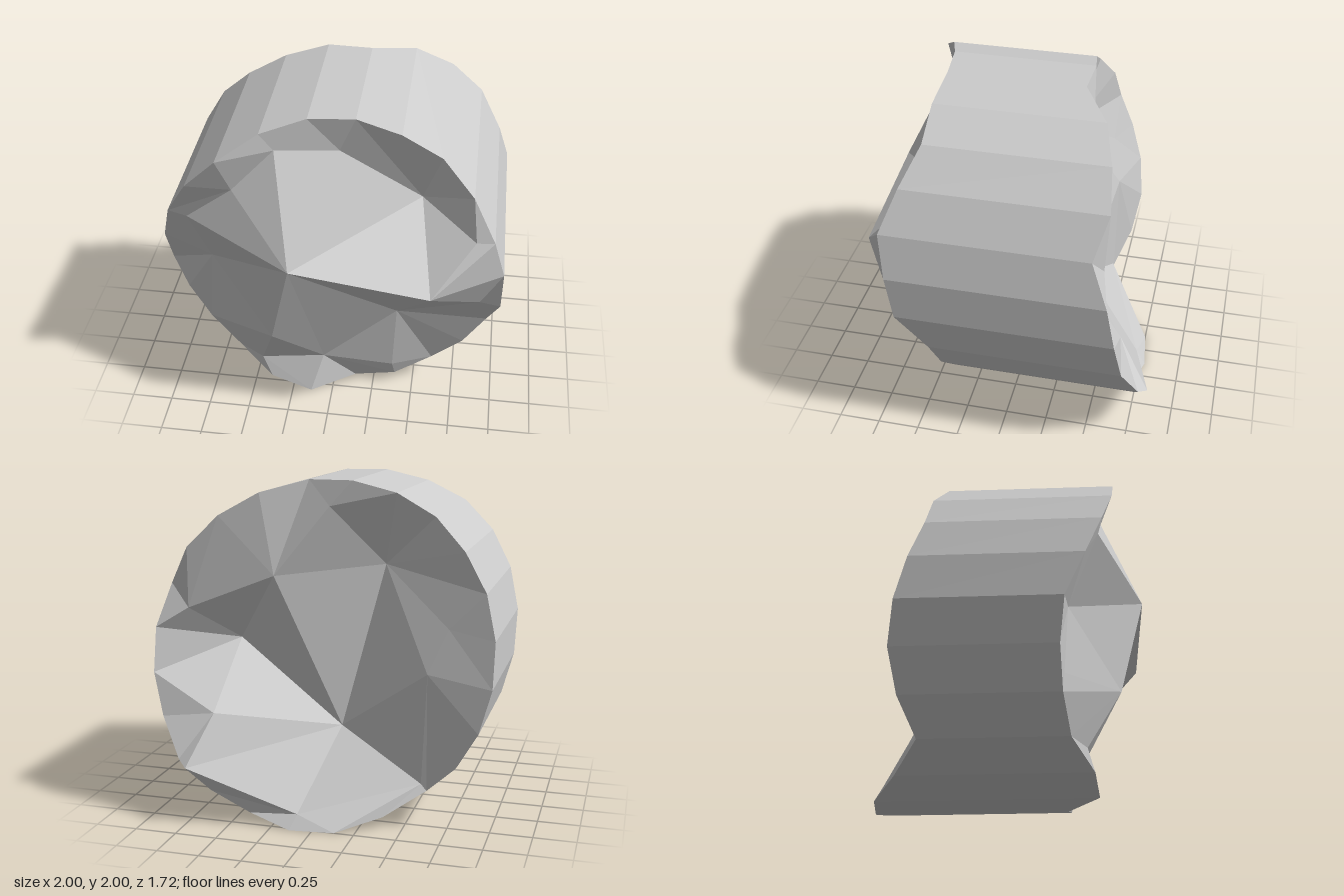
import * as THREE from 'three';

const SIDES = 24;
const RADIUS = 1 / Math.cos(Math.PI / SIDES);

// Depth of each broken rim, counter-clockwise from just above +x
const FRONT_RIM = [0.63, 0.67, 0.58, 0.49, 0.49, 0.47, 0.5, 0.58, 0.69, 0.67, 0.6, 0.5,
  0.38, 0.35, 0.36, 0.4, 0.53, 0.56, 0.38, 0.4, 0.36, 0.39, 0.42, 0.59];
const BACK_RIM = [-0.63, -0.53, -0.6, -0.57, -0.5, -0.34, -0.35, -0.31, -0.3, -0.37, -0.4, -0.48,
  -0.55, -0.58, -0.54, -0.45, -0.6, -0.75, -0.78, -0.74, -0.78, -0.81, -0.72, -0.68];

// Fracture faces: a hub and the facet corners around it, counter-clockwise.
// Corners marked 1 are chips near the rim that do not reach the hub.
const FRONT_HUB = [-0.2, 1.21, 0.86];
const FRONT_RING = [[0.6, 1.1, 0.86], [0.83, 1.38, 0.67, 1], [0.51, 1.49, 0.42], [0.04, 1.78, 0.45],
  [-0.31, 1.82, 0.56], [-0.55, 1.57, 0.61], [-0.83, 1.34, 0.58], [-0.75, 0.92, 0.4],
  [-0.79, 0.5, 0.37, 1], [-0.34, 0.57, 0.7], [-0.45, 0.19, 0.49, 1], [-0.06, 0.24, 0.48],
  [0.37, 0.17, 0.43, 1], [0.39, 0.65, 0.46], [0.88, 0.88, 0.58, 1]];
const BACK_HUB = [-0.07, 0.53, -0.35];
const BACK_RING = [[0.56, 1.04, -0.36], [0.81, 1.25, -0.58, 1], [0.32, 1.44, -0.45], [0, 1.85, -0.37, 1],
  [-0.3, 1.5, -0.2], [-0.72, 1.17, -0.4, 1], [-0.61, 0.91, -0.46], [-0.58, 0.24, -0.45],
  [0.1, 0.08, -0.72], [0.74, 0.35, -0.86], [0.63, 0.64, -0.67]];

const rimPoints = (depths) => depths.map((z, i) => {
  const a = ((i + 0.5) / SIDES) * Math.PI * 2;
  return [RADIUS * Math.cos(a), 1 + RADIUS * Math.sin(a), z];
});

function facetMesh(name, triangles, material) {
  const geometry = new THREE.BufferGeometry();
  geometry.setAttribute('position', new THREE.Float32BufferAttribute(triangles.flat(2), 3));
  geometry.computeVertexNormals();
  const mesh = new THREE.Mesh(geometry, material);
  mesh.name = name;
  return mesh;
}

// Fan from hub to main corners, add the chips, then stitch the ring to the rim by angle
function fractureTriangles(hub, corners, rim, flip) {
  const tris = [];
  const add = (a, b, c) => tris.push(flip ? [a, c, b] : [a, b, c]);
  const angle = (list, i) => {
    const [x, y] = list[i % list.length];
    const a = Math.atan2(y - 1, x);
    return (a < 0 ? a + Math.PI * 2 : a) + Math.floor(i / list.length) * Math.PI * 2;
  };
  const ring = corners.map((p) => p.slice(0, 3));
  const main = ring.filter((p, k) => !corners[k][3]);
  main.forEach((p, k) => add(hub, p, main[(k + 1) % main.length]));
  corners.forEach((p, k) => {
    if (p[3]) add(ring[k - 1], ring[k], ring[(k + 1) % ring.length]);
  });
  let i = 0, j = 0;
  while (i < ring.length || j < rim.length) {
    const a = ring[i % ring.length], b = rim[j % rim.length];
    const stepRim = i >= ring.length || (j < rim.length && angle(rim, j + 1) < angle(ring, i + 1));
    if (stepRim) add(a, b, rim[++j % rim.length]);
    else add(a, b, ring[++i % ring.length]);
  }
  return tris;
}

export function createModel() {
  const group = new THREE.Group();
  group.name = 'brokenColumnDrum';
  const material = new THREE.MeshStandardMaterial({ color: 0xcccccc, flatShading: true });
  const front = rimPoints(FRONT_RIM), back = rimPoints(BACK_RIM);

  // Faceted shaft between the two rims
  const shaft = [];
  for (let i = 0; i < SIDES; i++) {
    const n = (i + 1) % SIDES;
    shaft.push([front[i], back[i], back[n]], [front[i], back[n], front[n]]);
  }
  group.add(facetMesh('shaft', shaft, material));

  // Broken ends
  group.add(facetMesh('frontFracture', fractureTriangles(FRONT_HUB, FRONT_RING, front, false), material));
  group.add(facetMesh('backFracture', fractureTriangles(BACK_HUB, BACK_RING, back, true), material));
  return group;
}
